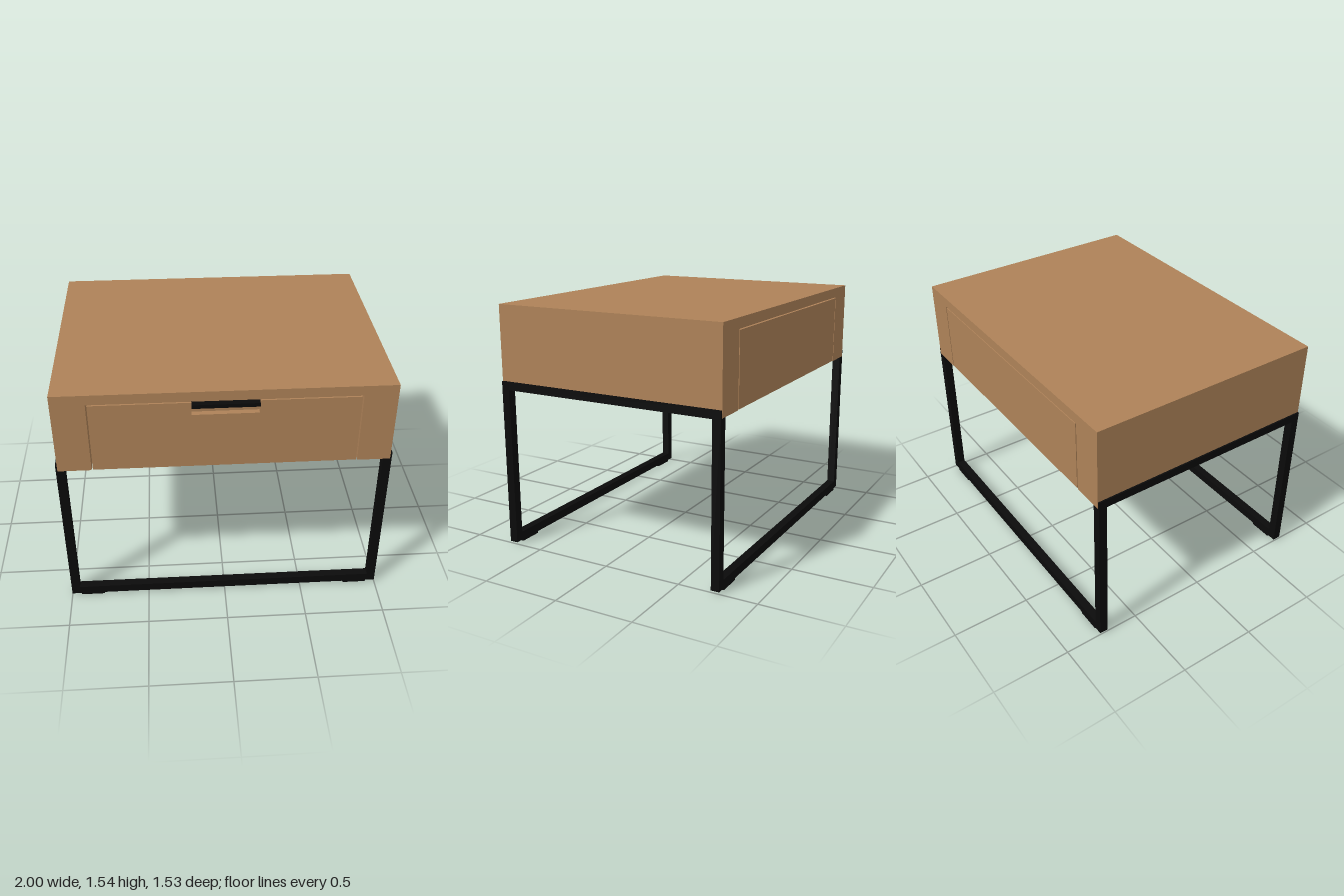
import * as THREE from 'three';

export function createModel() {
  const wood = new THREE.MeshStandardMaterial({ color: 0xae8258 });
  wood.name = 'warm wood';
  const metal = new THREE.MeshStandardMaterial({ color: 0x0a0a0a });
  metal.name = 'black metal';

  const model = new THREE.Group();
  model.name = 'bedsideTable';

  const add = (name, geometry, material) => {
    const mesh = new THREE.Mesh(geometry, material);
    mesh.name = name;
    model.add(mesh);
    return mesh;
  };
  // Box given by its minimum and maximum corners
  const block = (name, material, [x0, y0, z0], [x1, y1, z1]) => {
    const mesh = add(name, new THREE.BoxGeometry(x1 - x0, y1 - y0, z1 - z0), material);
    mesh.position.set((x0 + x1) / 2, (y0 + y1) / 2, (z0 + z1) / 2);
    return mesh;
  };
  // Front outline pushed from z0 to z1
  const slab = (name, points, z0, z1) => {
    const shape = new THREE.Shape(points.map(([x, y]) => new THREE.Vector2(x, y)));
    const geometry = new THREE.ExtrudeGeometry(shape, { depth: z1 - z0, bevelEnabled: false });
    add(name, geometry.translate(0, 0, z0), wood);
  };

  const front = 0.737, back = -0.765;
  const bottom = 1.022, top = 1.54;

  // Cabinet shell, open below and through from front to back
  slab('cabinetShell', [
    [-0.99, bottom], [-0.79, bottom], [-0.79, 1.477], [0.79, 1.477],
    [0.79, bottom], [0.99, bottom], [0.99, top], [-0.99, top],
  ], back, front);

  // Drawer set in with a fine shadow gap, its front notched for the fingers
  const w = 0.782, drawerTop = 1.47, drawerBottom = 1.025, faceBack = front - 0.035;
  slab('drawerFront', [
    [-w, drawerBottom], [w, drawerBottom], [w, drawerTop], [0.195, drawerTop],
    [0.195, 1.387], [-0.195, 1.387], [-0.195, drawerTop], [-w, drawerTop],
  ], faceBack, front);
  block('drawerBody', wood, [-w, drawerBottom, back], [w, drawerTop, faceBack - 0.003]);

  // Handle lip over the notch
  block('handle', metal, [-0.195, 1.446, faceBack], [0.195, 1.47, 0.765]);

  // Square tube frame: legs, side rails and floor rails
  const tube = 0.053;
  for (const [end, z0] of [['front', 0.683], ['back', -0.763]]) {
    const z1 = z0 + tube;
    for (const s of [-1, 1]) {
      const side = s > 0 ? 'Left' : 'Right';
      const span = (a, b) => (s > 0 ? [a, b] : [-b, -a]);
      const [l0, l1] = span(1 - tube, 1);
      block(`${end}${side}Leg`, metal, [l0, 0.012, z0], [l1, 1.067, z1]);
      const [f0, f1] = span(0.79, 0.94);
      block(`${end}${side}FootPad`, metal, [f0, 0, z0], [f1, 0.014, z1]);
    }
    block(`${end}FloorRail`, metal, [-1 + tube, 0.012, z0], [1 - tube, 0.066, z1]);
  }
  block('leftSideRail', metal, [1 - tube, 1.015, -0.71], [1, 1.067, 0.683]);
  block('rightSideRail', metal, [-1, 1.015, -0.71], [-1 + tube, 1.067, 0.683]);

  return model;
}
